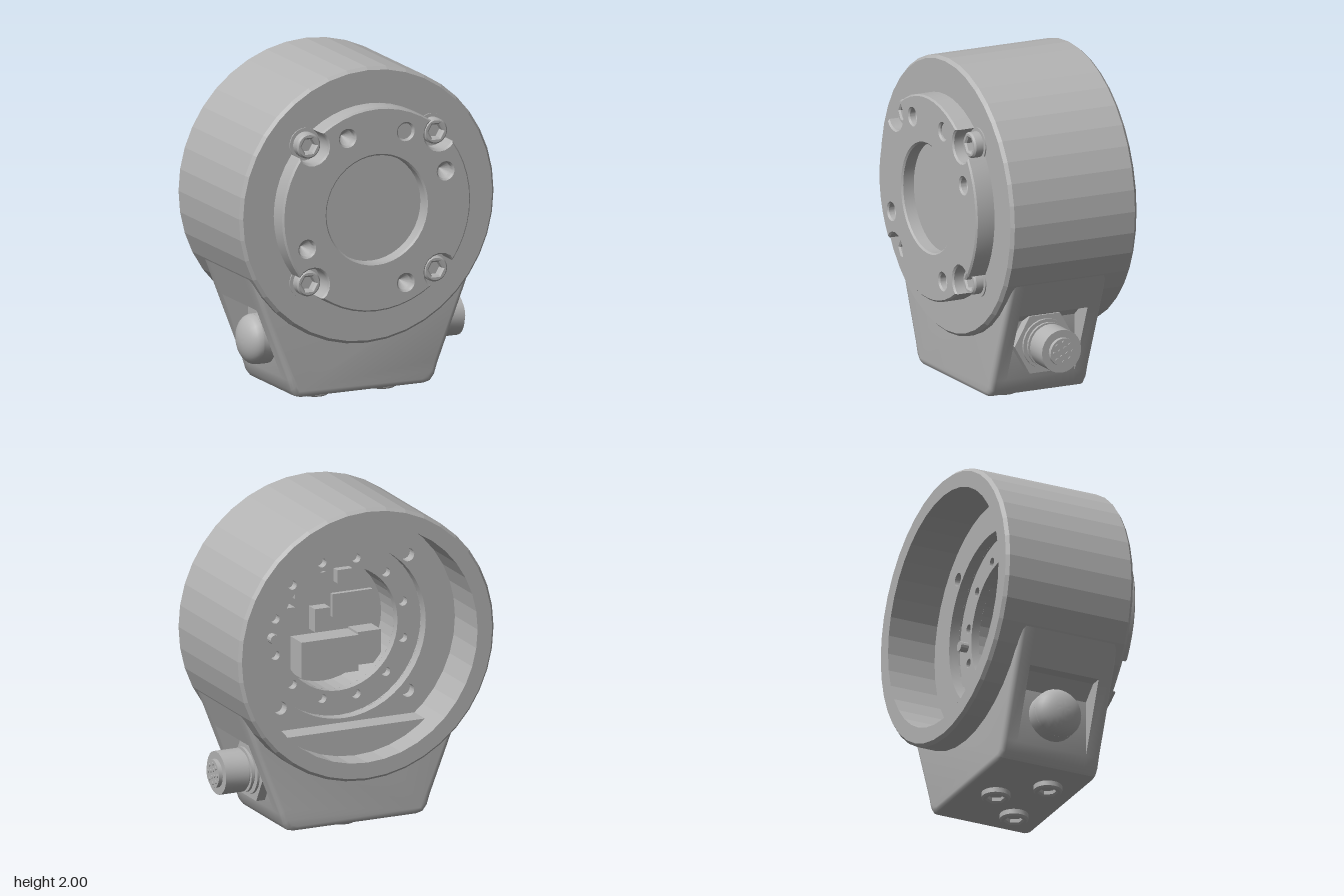
import * as THREE from 'three';
import { toCreasedNormals } from 'three/addons/utils/BufferGeometryUtils.js';

const CY = 1.17; // height of the ring axis

export function createModel() {
  const model = new THREE.Group();
  const grey = new THREE.MeshStandardMaterial({ color: 0xb3b3b3 });
  grey.name = 'castGrey';

  const add = (name, geo, x = 0, y = 0, z = 0, crease = 0.5) => {
    const m = new THREE.Mesh(toCreasedNormals(geo, crease), grey);
    m.name = name;
    m.position.set(x, y, z);
    model.add(m);
    return m;
  };
  // Turned part about the z axis; profile of [radius, z]
  const turned = (pts, seg) =>
    new THREE.LatheGeometry(pts.map(p => new THREE.Vector2(...p)), seg).rotateX(Math.PI / 2);
  const circle = (x, y, r) => new THREE.Path().absarc(x, y, r, 0, Math.PI * 2, true);
  const extrude = (shape, z0, z1, bevel = 0, seg = 20) =>
    new THREE.ExtrudeGeometry(shape, {
      depth: z1 - z0 - 2 * bevel, curveSegments: seg, bevelEnabled: bevel > 0,
      bevelSize: bevel, bevelThickness: bevel, bevelOffset: -bevel, bevelSegments: 1,
    }).translate(0, 0, z0 + bevel);
  // Flat ring with holes spread on a circle
  const ring = (rIn, rOut, z0, z1, n, rHoles, rHole, start) => {
    const s = new THREE.Shape().absarc(0, 0, rOut, 0, Math.PI * 2);
    s.holes.push(circle(0, 0, rIn));
    for (let i = 0; i < n; i++) {
      const a = start + i * 2 * Math.PI / n;
      s.holes.push(circle(rHoles * Math.cos(a), rHoles * Math.sin(a), rHole));
    }
    return extrude(s, z0, z1, 0, 24);
  };
  // Cylinder lying along x between x0 and x1
  const rodX = (r, x0, x1, seg = 24) =>
    new THREE.CylinderGeometry(r, r, x1 - x0, seg).rotateZ(-Math.PI / 2).translate((x0 + x1) / 2, 0, 0);
  // Socket screw head facing +z, top at z = 0
  const screw = (name, r, h, x, y, z, down) => {
    const s = new THREE.Shape().absarc(0, 0, r, 0, Math.PI * 2);
    const hex = [];
    for (let i = 0; i < 6; i++) hex.push(new THREE.Vector2(r * 0.6 * Math.cos(-i * Math.PI / 3), r * 0.6 * Math.sin(-i * Math.PI / 3)));
    s.holes.push(new THREE.Path(hex));
    const head = extrude(s, -h, 0, 0.01, 12);
    const floor = new THREE.CylinderGeometry(r * 0.7, r * 0.7, h * 0.3, 12).rotateX(Math.PI / 2).translate(0, 0, -h * 0.8);
    if (down) { head.rotateX(Math.PI / 2); floor.rotateX(Math.PI / 2); }
    add(name, head, x, y, z);
    add(name + 'Socket', floor, x, y, z);
  };

  // Round housing, hollow from the back
  add('housing', turned([[0, 0.12], [0.38, 0.12], [0.38, -0.05], [0.53, -0.05], [0.53, -0.11],
    [0.72, -0.11], [0.72, -0.475], [0.815, -0.475], [0.833, -0.455], [0.833, 0.34],
    [0.815, 0.36], [0, 0.36]], 40), 0, CY, 0, 0.1);
  add('cavityFloor', ring(0.53, 0.725, -0.17, -0.11, 4, 0.587, 0.04, Math.PI / 4), 0, CY);
  add('holeRing', ring(0.38, 0.535, -0.1, -0.05, 12, 0.43, 0.028, Math.PI / 12), 0, CY);
  add('locatingPin', new THREE.CylinderGeometry(0.03, 0.03, 0.08, 12).rotateX(Math.PI / 2), 0.44, CY, -0.11);

  // Flat shelf at the bottom of the cavity
  const sa = Math.asin(0.555 / 0.725);
  add('shelf', extrude(new THREE.Shape().absarc(0, 0, 0.725, Math.PI + sa, 2 * Math.PI - sa), -0.31, -0.16), 0, CY);

  // Circuit parts inside the bore: x, y, width, height, depth
  [[0.025, -0.19, 0.37, 0.22, 0.15], [-0.24, -0.17, 0.15, 0.2, 0.13], [0.27, 0.06, 0.1, 0.12, 0.08],
    [0.04, 0.02, 0.1, 0.14, 0.08], [0.12, 0.24, 0.2, 0.14, 0.08], [-0.18, 0.08, 0.26, 0.14, 0.03],
    [-0.12, 0.26, 0.1, 0.08, 0.05]].forEach(([x, y, w, h, d]) =>
    add('circuitBlock', new THREE.BoxGeometry(w, h, d), x, CY + y, 0.12 - d / 2));

  // Front flange with four open screw notches
  const R = 0.615, D = 0.587, N = 0.1;
  const th = Math.acos((R * R + D * D - N * N) / (2 * R * D));
  const phi = Math.atan2(R * Math.sin(th), R * Math.cos(th) - D);
  const pts = [];
  for (let k = 0; k < 4; k++) {
    const a = Math.PI / 4 + k * Math.PI / 2;
    for (let i = 0; i <= 10; i++) {
      const t = a - Math.PI / 2 + th + (Math.PI / 2 - 2 * th) * i / 10;
      pts.push(new THREE.Vector2(R * Math.cos(t), R * Math.sin(t)));
    }
    for (let i = 1; i < 10; i++) {
      const t = a - phi - (2 * Math.PI - 2 * phi) * i / 10;
      pts.push(new THREE.Vector2(D * Math.cos(a) + N * Math.cos(t), D * Math.sin(a) + N * Math.sin(t)));
    }
  }
  const flange = new THREE.Shape(pts);
  flange.holes.push(circle(0, 0, 0.325));
  const drilled = [[-0.19, 0.45], [0.45, 0.185], [-0.455, -0.19], [0.19, -0.46]];
  [...drilled, [0.19, 0.45]].forEach(([x, y]) => flange.holes.push(circle(x, y, 0.048)));
  add('frontFlange', extrude(flange, 0.345, 0.48, 0.01), 0, CY);
  add('centreCover', new THREE.CylinderGeometry(0.335, 0.335, 0.05, 32).rotateX(Math.PI / 2), 0, CY, 0.375);
  drilled.forEach(([x, y]) => add('drillPoint', turned([[0.055, 0.44], [0, 0.39]], 16), x, CY + y));
  add('dowel', new THREE.CylinderGeometry(0.05, 0.05, 0.1, 20).rotateX(Math.PI / 2), 0.19, CY + 0.45, 0.41);
  for (const sx of [-1, 1]) for (const sy of [-1, 1]) {
    add('screwSeat', new THREE.CylinderGeometry(0.098, 0.098, 0.02, 20).rotateX(Math.PI / 2), sx * 0.415, CY + sy * 0.415, 0.357);
    screw('flangeScrew', 0.077, 0.08, sx * 0.415, CY + sy * 0.415, 0.425, false);
  }

  // Tapered neck with a pocket cut in each side
  const PX = 0.489, TOP = 0.575;
  const side = [[0.4, 0.04], [0.44, 0.05], [0.468, 0.085], [PX, 0.15], [0.655, TOP], [0.655, TOP], [0.79, 0.92]];
  const outline = (inset, cut) => {
    const right = side.map(([x, y], i) => [cut && i === 4 ? PX : x, y]);
    const arc = [];
    for (let i = 0; i <= 24; i++) {
      const t = -0.3 - (Math.PI - 0.6) * i / 24;
      arc.push([0.78 * Math.cos(t), CY + 0.78 * Math.sin(t)]);
    }
    const left = right.map(([x, y]) => [-x, y]).reverse();
    return [...right, ...arc, ...left].map(([x, y]) => [x * (1 - inset / 0.6), y < 0.3 ? y + inset : y]);
  };
  const levels = [[0.31, 0.03], [0.306, 0.015], [0.295, 0.004], [0.28, 0], [0.215, 0], [0.215, 0, true],
    [-0.235, 0, true], [-0.235, 0], [-0.3, 0], [-0.315, 0.004], [-0.326, 0.015], [-0.33, 0.03]];
  const pos = [], idx = [];
  const loops = levels.map(([z, inset, cut]) => outline(inset, cut).map(([x, y]) => [x, y, z]));
  loops.forEach(l => l.forEach(p => pos.push(...p)));
  const n = loops[0].length, last = (loops.length - 1) * n;
  for (let l = 0; l < loops.length - 1; l++) for (let i = 0; i < n; i++) {
    const j = (i + 1) % n, a = l * n, b = a + n;
    idx.push(a + i, b + i, b + j, a + i, b + j, a + j);
  }
  THREE.ShapeUtils.triangulateShape(loops[0].map(p => new THREE.Vector2(p[0], p[1])), []).forEach(([a, b, c]) =>
    idx.push(a, b, c, last + a, last + c, last + b));
  const neck = new THREE.BufferGeometry();
  neck.setAttribute('position', new THREE.Float32BufferAttribute(pos, 3));
  neck.setIndex(idx);
  add('neck', neck, 0, 0, 0, 0.6);

  // Round connector on the left side
  const CONY = 0.36, CONZ = -0.01;
  [['connectorNut', 0.2, 0.48, 0.545, 6], ['connectorWasher', 0.15, 0.54, 0.56, 24],
    ['connectorNeck', 0.115, 0.55, 0.62, 24], ['connectorRib', 0.135, 0.575, 0.59, 24],
    ['connectorShell', 0.13, 0.605, 0.755, 24], ['connectorInsert', 0.085, 0.75, 0.78, 24]]
    .forEach(([name, r, x0, x1, seg]) => add(name, rodX(r, x0, x1, seg), 0, CONY, CONZ));
  for (let i = 0; i < 12; i++) {
    const r = i < 8 ? 0.06 : 0.026, a = i < 8 ? i * Math.PI / 4 : i * Math.PI / 2 + 0.4;
    add('connectorPin', rodX(0.011, 0.77, 0.786, 8), 0, CONY + r * Math.sin(a), CONZ + r * Math.cos(a));
  }

  // Domed plug on the right side
  add('plugBase', rodX(0.15, -0.565, -0.48), 0, 0.345, CONZ);
  add('plugDome', new THREE.SphereGeometry(0.15, 24, 8, 0, Math.PI * 2, 0, Math.PI / 2)
    .scale(1, 0.62, 1).rotateZ(Math.PI / 2), -0.564, 0.345, CONZ);

  // Three screws under the neck
  [[-0.22, 0.1], [0, -0.13], [0.22, 0.1]].forEach(([x, z]) => screw('bottomScrew', 0.085, 0.05, x, 0, z, true));

  return model;
}
